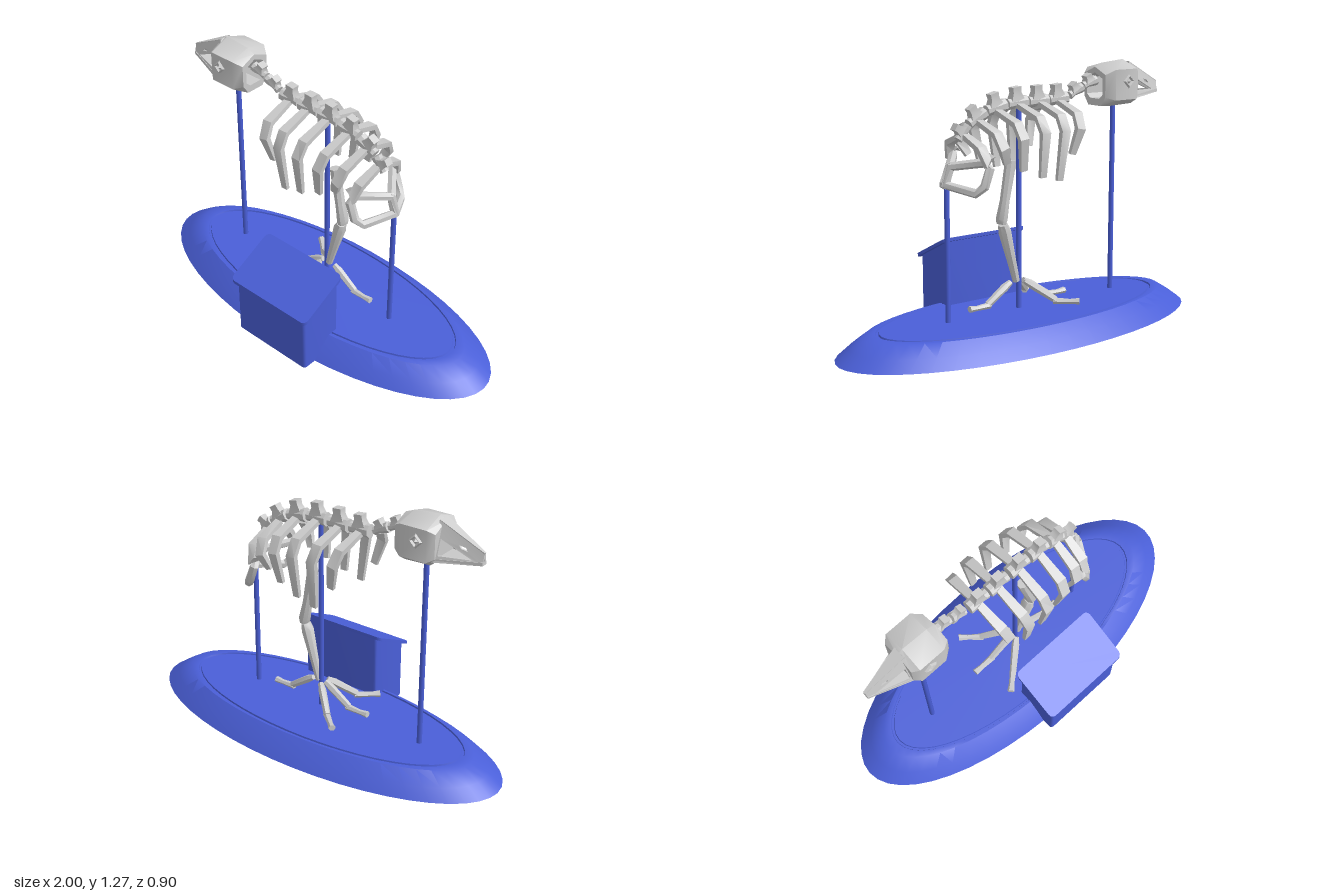
import * as THREE from 'three';
import { toCreasedNormals } from 'three/addons/utils/BufferGeometryUtils.js';

const V = (x, y, z) => new THREE.Vector3(x, y, z);
const BONE = new THREE.MeshStandardMaterial({ color: 0xcccccc, side: THREE.DoubleSide });
const STAND = new THREE.MeshStandardMaterial({ color: 0x4a5fd8, side: THREE.DoubleSide });
const CZ = -0.03; // middle plane of the skeleton

// Joins rings of points into a surface, optionally capped or closed to a loop
function skin(rings, { start = true, end = true, loop = false } = {}) {
  const n = rings[0].length, pos = [], idx = [];
  rings.forEach(r => r.forEach(p => pos.push(p.x, p.y, p.z)));
  const spans = loop ? rings.length : rings.length - 1;
  for (let i = 0; i < spans; i++) {
    const k = (i + 1) % rings.length;
    for (let j = 0; j < n; j++) {
      const m = (j + 1) % n;
      idx.push(i * n + j, i * n + m, k * n + j, i * n + m, k * n + m, k * n + j);
    }
  }
  const cap = (i, flip) => {
    const c = rings[i].reduce((s, p) => s.add(p), V(0, 0, 0)).divideScalar(n);
    const ci = pos.length / 3;
    pos.push(c.x, c.y, c.z);
    for (let j = 0; j < n; j++) {
      const a = i * n + j, b = i * n + (j + 1) % n;
      if (flip) idx.push(ci, b, a); else idx.push(ci, a, b);
    }
  };
  if (!loop && start) cap(0, true);
  if (!loop && end) cap(rings.length - 1, false);
  const g = new THREE.BufferGeometry();
  g.setAttribute('position', new THREE.Float32BufferAttribute(pos, 3));
  g.setIndex(idx);
  return toCreasedNormals(g, 0.7);
}

// Sweeps a section along points; sizes are half widths along the hint and across it
function sweep(pts, sizes, hint, sides = 8, loop = false) {
  const n = pts.length, k = sides === 4 ? Math.SQRT2 : 1;
  const rings = pts.map((p, i) => {
    const a = loop ? pts[(i + n - 1) % n] : pts[Math.max(i - 1, 0)];
    const b = loop ? pts[(i + 1) % n] : pts[Math.min(i + 1, n - 1)];
    const t = b.clone().sub(a).normalize();
    const u = hint.clone().addScaledVector(t, -hint.dot(t)).normalize();
    const v = t.clone().cross(u);
    const [su, sv] = sizes[i % sizes.length];
    return Array.from({ length: sides }, (_, j) => {
      const q = (j + 0.5) / sides * Math.PI * 2;
      return p.clone().addScaledVector(u, Math.cos(q) * su * k).addScaledVector(v, Math.sin(q) * sv * k);
    });
  });
  return skin(rings, { loop });
}

function add(parent, name, geo, mat = BONE) {
  const m = new THREE.Mesh(geo, mat);
  m.name = name;
  parent.add(m);
  return m;
}

function buildStand(root) {
  // Oval base, open below, with a shallow groove around the top
  const oval = ([a, b, y]) => Array.from({ length: 48 }, (_, i) => {
    const q = i / 48 * Math.PI * 2;
    return V(a * Math.sin(q), y, CZ - 0.005 + b * Math.cos(q));
  });
  add(root, 'ovalBase', skin([[1, 0.413, 0], [0.93, 0.37, 0.05], [0.85, 0.312, 0.1], [0.8, 0.3, 0.1],
    [0.797, 0.298, 0.092], [0.785, 0.29, 0.092], [0.782, 0.288, 0.1]].map(oval), { start: false }), STAND);

  // Lectern with a sloping lid
  const slope = z => 0.425 - (z - 0.185) * 0.49;
  const roundRect = (cx, cz, hx, hz, r, yOf) => {
    const out = [];
    for (let k = 0; k < 4; k++) {
      const mid = (k + 0.5) * Math.PI / 2;
      for (let s = 0; s <= 3; s++) {
        const q = (k + s / 3) * Math.PI / 2;
        const z = cz + Math.sign(Math.cos(mid)) * (hz - r) + r * Math.cos(q);
        out.push(V(cx + Math.sign(Math.sin(mid)) * (hx - r) + r * Math.sin(q), yOf(z), z));
      }
    }
    return out;
  };
  add(root, 'lecternBody', skin([roundRect(0.065, 0.313, 0.22, 0.118, 0.015, () => 0),
    roundRect(0.065, 0.313, 0.22, 0.118, 0.015, slope)], { start: false }), STAND);
  add(root, 'lecternLid', skin([roundRect(0.063, 0.318, 0.243, 0.132, 0.025, slope),
    roundRect(0.063, 0.318, 0.243, 0.132, 0.025, z => slope(z) + 0.017)]), STAND);

  // Support rods
  [[-0.566, 1.08], [0.017, 1.09], [0.425, 0.75]].forEach(([x, top]) => {
    const rod = add(root, 'supportRod', new THREE.CylinderGeometry(0.013, 0.013, top - 0.08, 10), STAND);
    rod.position.set(x, (top + 0.08) / 2, CZ);
  });
}

function buildHead(body) {
  const head = new THREE.Group();
  head.name = 'head';
  body.add(head);
  // Skull: faceted shell with a hollow at the back
  const section = ([x, w, top, sh, low, bot]) => [[top, 0], [sh, w], [low, w], [bot, w * 0.6],
    [bot, -w * 0.6], [low, -w], [sh, -w]].map(([y, z]) => V(x, y, z));
  add(head, 'skull', skin([
    [-0.655, 0.085, 1.255, 1.215, 1.1, 1.085], [-0.625, 0.11, 1.275, 1.235, 1.085, 1.06],
    [-0.49, 0.11, 1.263, 1.235, 1.085, 1.055], [-0.447, 0.08, 1.245, 1.21, 1.1, 1.055],
    [-0.447, 0.058, 1.218, 1.19, 1.11, 1.09], [-0.56, 0.055, 1.215, 1.19, 1.11, 1.09]].map(section)));

  // Beak: two side panels with a jaw gap and nostril, drawn in towards the ridge
  const poly = (C, p) => new C(p.map(([x, y]) => new THREE.Vector2(x, y)));
  const side = poly(THREE.Shape, [[-0.64, 1.265], [-0.85, 1.155], [-0.85, 1.1], [-0.64, 1.085]]);
  side.holes.push(poly(THREE.Path, [[-0.66, 1.187], [-0.66, 1.115], [-0.805, 1.117]]),
    poly(THREE.Path, [[-0.74, 1.172], [-0.75, 1.158], [-0.78, 1.15], [-0.77, 1.165]]));
  const g = new THREE.ExtrudeGeometry(side, { depth: 0.01, bevelEnabled: false });
  const p = g.attributes.position;
  for (let i = 0; i < p.count; i++) {
    const t = (p.getX(i) + 0.85) / 0.21;
    const top = 1.155 + 0.11 * t, low = 1.1 - 0.015 * t, f = (p.getY(i) - low) / (top - low);
    p.setZ(i, (0.015 + 0.072 * t) * (1 - 0.65 * f) - 0.01 + p.getZ(i));
  }
  const beakGeo = toCreasedNormals(g, 0.5);
  for (const s of [1, -1]) {
    add(head, 'beakSide', beakGeo).scale.z = s;
    // Diamond eye sockets
    const eye = add(head, 'eyeSocket', toCreasedNormals(new THREE.TorusGeometry(0.026, 0.009, 4, 4), 0.5));
    eye.position.set(-0.573, 1.175, s * 0.11);
    const pupil = add(head, 'eye', toCreasedNormals(new THREE.OctahedronGeometry(0.013), 0.3));
    pupil.position.set(-0.573, 1.175, s * 0.109);
  }
  const up = V(0, 1, 0);
  add(head, 'beakRidge', sweep([V(-0.85, 1.15, 0), V(-0.64, 1.259, 0)], [[0.006, 0.006], [0.006, 0.031]], up, 4));
  add(head, 'lowerJaw', sweep([V(-0.85, 1.107, 0), V(-0.64, 1.092, 0)], [[0.008, 0.015], [0.008, 0.084]], up, 4));
}

function buildTorso(body) {
  // Vertebrae: x, y, tilt, half length, radius, spine height
  [[-0.41, 1.168, -0.3, 0.042, 0.026, 0.045], [-0.325, 1.133, -0.45, 0.042, 0.026, 0.045],
    [-0.21, 1.103, -0.03, 0.054, 0.033, 0.073], [-0.09, 1.1, 0, 0.055, 0.034, 0.077],
    [0.033, 1.1, -0.04, 0.055, 0.034, 0.077], [0.152, 1.085, -0.18, 0.054, 0.034, 0.073],
    [0.258, 1.045, -0.5, 0.05, 0.032, 0.065], [0.335, 0.985, -0.9, 0.04, 0.027, 0.055],
  ].forEach(([x, y, tilt, h, r, tall]) => {
    const v = new THREE.Group();
    v.name = 'vertebra';
    v.position.set(x, y, 0);
    v.rotation.z = tilt;
    body.add(v);
    add(v, 'vertebraBody', sweep([-1, -0.6, 0.3, 1].map(k => V(k * h, 0, 0)),
      [[r, r], [r * 0.95, r], [r * 0.65, r * 0.7], [r * 0.8, r * 0.85]], V(0, 1, 0)));
    add(v, 'vertebraSpine', sweep([V(0, r * 0.3, 0), V(0.002, tall * 0.65, 0), V(0.004, tall, 0)],
      [[h * 0.7, 0.024], [h * 0.4, 0.018], [h * 0.42, 0.02]], V(1, 0, 0), 4));
  });

  // Ribs: root x and y, tip x and y, reach
  [[-0.215, 1.09, -0.17, 0.86, 0.205], [-0.1, 1.09, -0.083, 0.745, 0.222], [0.027, 1.09, 0.015, 0.77, 0.222],
    [0.15, 1.07, 0.118, 0.81, 0.21], [0.255, 1.03, 0.2, 0.85, 0.19], [0.33, 0.97, 0.27, 0.89, 0.165],
  ].forEach(([x, y, tx, ty, w]) => {
    const at = f => x + (tx - x) * f;
    for (const s of [1, -1]) {
      add(body, 'rib', sweep([V(x, y, s * 0.015), V(at(0.15), y - 0.045, s * w * 0.78),
        V(at(0.4), y - 0.11, s * w * 0.96), V(tx, ty, s * w * 0.83)],
      [[0.018, 0.012], [0.024, 0.013], [0.024, 0.013], [0.017, 0.009]], V(1, 0, 0), 4));
    }
  });

  // Pelvis: a slanting loop on each side, meeting at the back
  for (const s of [1, -1]) {
    add(body, 'pelvisLoop', sweep([V(0.405, 0.835, 0), V(0.3, 0.862, s * 0.135), V(0.295, 0.835, s * 0.16),
      V(0.325, 0.755, s * 0.16), V(0.355, 0.725, s * 0.135), V(0.43, 0.752, 0)],
    [[0.022, 0.022]], V(0.15, 0, s * 0.12).normalize(), 6, true));
  }
}

function buildLeg(body) {
  const side = V(0, 0, 1);
  add(body, 'thighBone', sweep([V(0.065, 0.83, 0), V(0.075, 0.77, 0), V(0.1, 0.64, 0), V(0.118, 0.55, 0), V(0.12, 0.53, 0)],
    [[0.025, 0.028], [0.025, 0.028], [0.027, 0.023], [0.033, 0.028], [0.028, 0.022]], side));
  add(body, 'shinBone', sweep([V(0.112, 0.525, 0), V(0.1, 0.49, 0), V(0.06, 0.34, 0), V(0.032, 0.235, 0)],
    [[0.028, 0.022], [0.034, 0.031], [0.024, 0.022], [0.018, 0.018]], side));
  // Toes: three forward and one back, each of two bones
  [[-0.265, 0], [0.305, 0], [-0.2, 0.2], [-0.2, -0.2]].forEach(([x, z]) => {
    const d = (f, y) => V(0.03 + (x - 0.03) * f, y, z * f);
    add(body, 'upperToe', sweep([d(0.13, 0.235), d(0.25, 0.215), d(0.62, 0.145)],
      [[0.014, 0.014], [0.02, 0.02], [0.017, 0.017]], V(0, 1, 0), 6));
    add(body, 'lowerToe', sweep([d(0.58, 0.14), d(0.85, 0.138), d(1, 0.14)],
      [[0.016, 0.018], [0.012, 0.014], [0.016, 0.018]], V(0, 1, 0), 6));
  });
}

export function createModel() {
  const root = new THREE.Group();
  root.name = 'birdSkeletonDisplay';
  buildStand(root);
  const body = new THREE.Group();
  body.name = 'skeleton';
  body.position.z = CZ;
  root.add(body);
  buildHead(body);
  buildTorso(body);
  buildLeg(body);
  return root;
}
